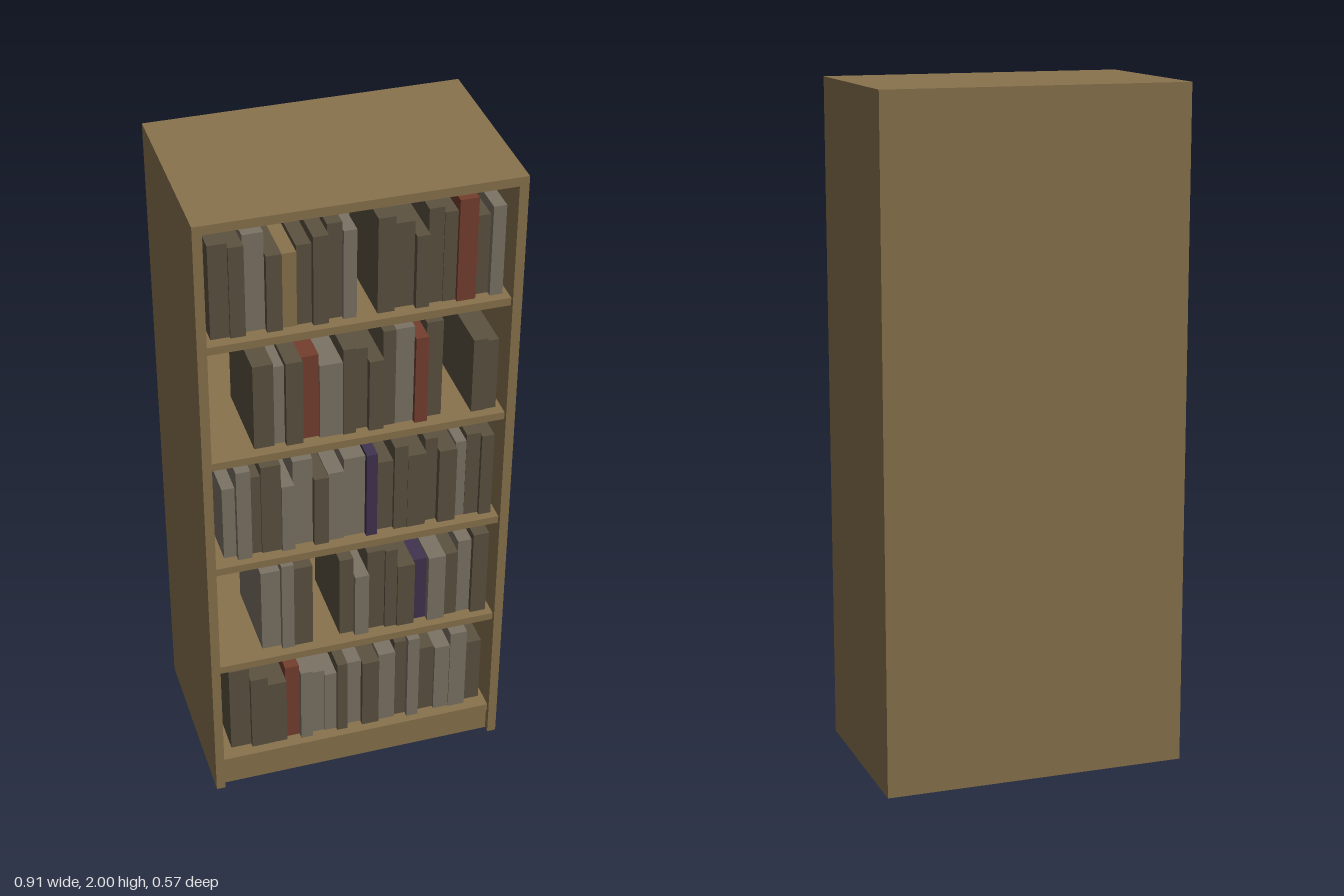
import * as THREE from 'three';

const material = (name, color) => new THREE.MeshStandardMaterial({ name, color });

export function createModel() {
  const wood = material('wood', 0x8a734e);
  const covers = {
    D: material('dark cover', 0x5c5240),
    L: material('light cover', 0x7c7365),
    R: material('red cover', 0x743f2e),
    P: material('purple cover', 0x40334f),
    W: wood,
  };
  const model = new THREE.Group();
  model.name = 'bookcase';

  // Box given by its lower and upper corners
  function box(parent, name, mat, [x0, y0, z0], [x1, y1, z1]) {
    const mesh = new THREE.Mesh(new THREE.BoxGeometry(x1 - x0, y1 - y0, z1 - z0), mat);
    mesh.position.set((x0 + x1) / 2, (y0 + y1) / 2, (z0 + z1) / 2);
    mesh.name = name;
    parent.add(mesh);
  }

  // Case
  const X = 0.453, Z = 0.283, T = 0.027, inner = X - T;
  box(model, 'leftSide', wood, [inner, 0, -Z], [X, 2, Z]);
  box(model, 'rightSide', wood, [-X, 0, -Z], [-inner, 2, Z]);
  box(model, 'topPanel', wood, [-inner, 2 - T, -Z], [inner, 2, Z]);
  box(model, 'backPanel', wood, [-inner, 0, -Z], [inner, 2 - T, -Z + 0.015]);
  box(model, 'kickBoard', wood, [-inner, 0, Z - 0.045], [inner, 0.081, Z - 0.02]);

  // Shelf with a row of books: one cover letter each ('-' is a gap),
  // widths and heights in thousandths
  let count = 0;
  function shelf(y, start, letters, widths, heights) {
    box(model, 'shelf', wood, [-inner, y - 0.024, -Z + 0.015], [inner, y, Z - 0.013]);
    const row = new THREE.Group();
    row.name = 'bookRow';
    let x = start;
    [...letters].forEach((letter, i) => {
      const w = widths[i] / 1000;
      if (letter !== '-') {
        const front = 0.236 + 0.011 * Math.sin(2.4 * count++);
        box(row, 'book', covers[letter], [x, y, front - 0.26], [x + w, y + heights[i] / 1000, front]);
      }
      x += w;
    });
    model.add(row);
  }

  shelf(1.62, -0.405, 'DDLDWDDDL-DDDDDRDL',
    [53, 42, 58, 43, 42, 42, 43, 42, 37, 58, 48, 58, 37, 43, 37, 53, 42, 37],
    [289, 278, 299, 236, 230, 246, 273, 294, 273, 0, 294, 262, 225, 294, 278, 315, 246, 278]);
  shelf(1.237, -0.294, 'DLDRLDDDDLRD-DD',
    [58, 32, 48, 50, 66, 37, 37, 42, 37, 53, 37, 48, 85, 42, 32],
    [273, 257, 273, 273, 241, 283, 268, 231, 315, 315, 283, 315, 0, 241, 231]);
  shelf(0.861, -0.389, 'LLDDLLDLLPDDDDDLDD',
    [37, 42, 32, 58, 37, 58, 43, 48, 63, 32, 53, 40, 55, 37, 53, 32, 42, 37],
    [246, 310, 273, 305, 230, 299, 236, 241, 278, 289, 241, 294, 257, 294, 257, 268, 289, 283]);
  shelf(0.485, -0.283, 'LLD-DLDDDPLDLD',
    [58, 37, 58, 85, 42, 43, 53, 37, 53, 42, 53, 42, 42, 48],
    [289, 315, 294, 0, 283, 225, 294, 294, 230, 230, 241, 236, 273, 299]);
  shelf(0.105, -0.389, 'DDDRLLLDLDLDLDLLD',
    [63, 53, 58, 43, 37, 42, 37, 32, 48, 53, 53, 37, 37, 53, 48, 53, 53],
    [310, 273, 241, 283, 268, 246, 230, 268, 252, 252, 268, 299, 315, 252, 252, 299, 236]);

  return model;
}
